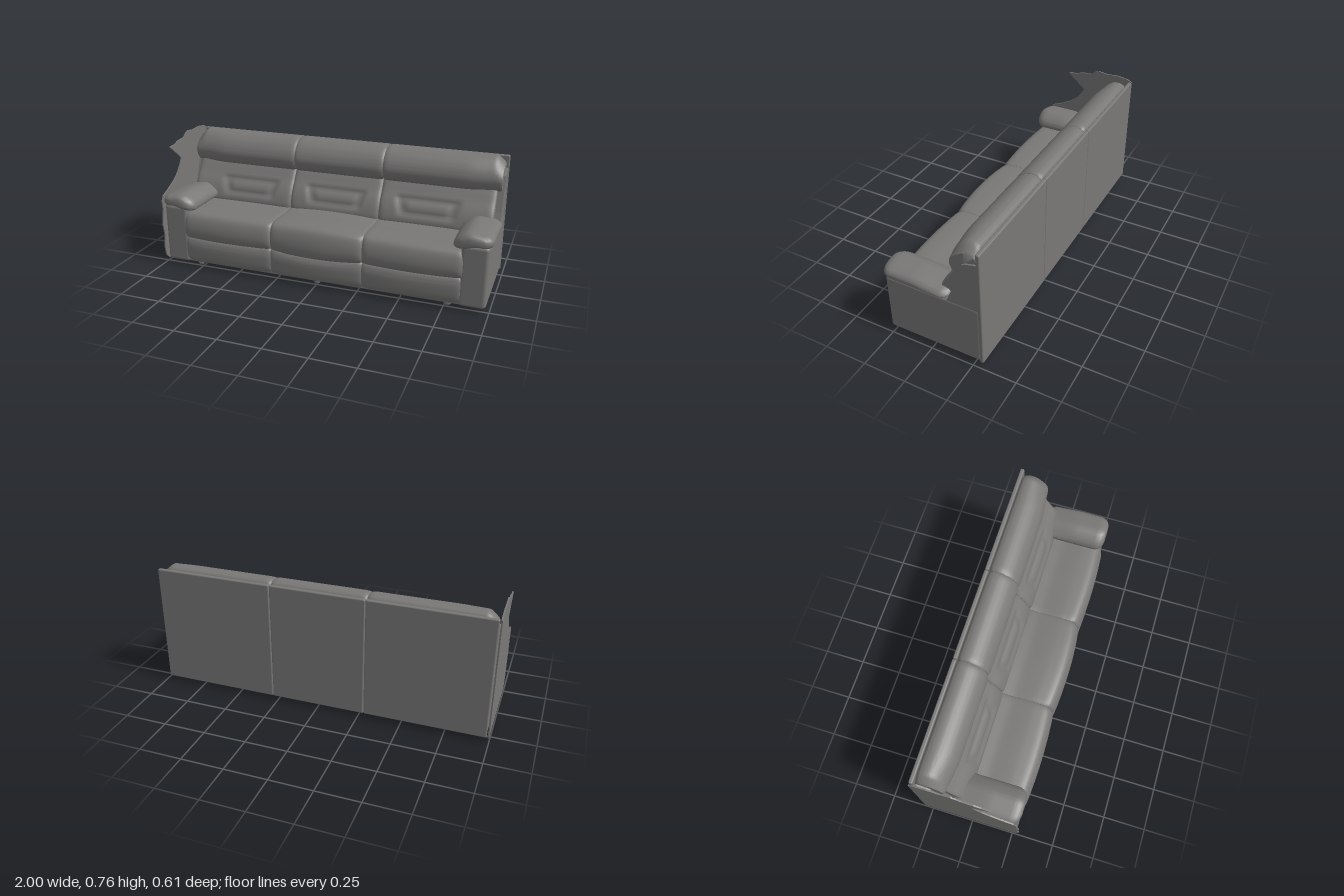
import * as THREE from 'three';
import { toCreasedNormals } from 'three/addons/utils/BufferGeometryUtils.js';
import { RoundedBoxGeometry } from 'three/addons/geometries/RoundedBoxGeometry.js';

const material = new THREE.MeshStandardMaterial({ color: 0x797877, side: THREE.DoubleSide });
const clamp = THREE.MathUtils.clamp;
const smooth = THREE.MathUtils.smoothstep;

function add(parent, name, geometry, x = 0, y = 0, z = 0) {
  const mesh = new THREE.Mesh(geometry, material);
  mesh.name = name;
  mesh.position.set(x, y, z);
  parent.add(mesh);
  return mesh;
}

// Box given by its extents on each axis
function box(parent, name, [x0, x1], [y0, y1], [z0, z1], radius) {
  const geo = new RoundedBoxGeometry(x1 - x0, y1 - y0, z1 - z0, 3, radius);
  add(parent, name, geo, (x0 + x1) / 2, (y0 + y1) / 2, (z0 + z1) / 2);
}

// Padded form: a smooth closed section swept along z from c0 to c1, with rounded ends.
// shape(p, t) may move each point; t runs from -1 to 1 along the sweep.
function pillow(points, c0, c1, { round = 0.04, shrink = 0.12, shape = null } = {}) {
  const around = 72, along = 50;
  const curve = new THREE.CatmullRomCurve3(points.map(([a, b]) => new THREE.Vector3(a, b, 0)), true);
  const section = curve.getSpacedPoints(around).slice(0, around);
  if (THREE.ShapeUtils.area(section) < 0) section.reverse();
  const centre = section.reduce((s, p) => s.add(p), new THREE.Vector3()).divideScalar(around);
  const position = [], index = [];
  for (let i = -1; i <= along + 1; i++) {
    const u = clamp(i / along, 0, 1);
    const t = 0.6 * (2 * u - 1) - 0.4 * Math.cos(Math.PI * u);
    const c = (c0 + c1) / 2 + t * (c1 - c0) / 2;
    const q = clamp(1 - Math.min(c - c0, c1 - c) / round, 0, 1);
    const cap = i < 0 || i > along;
    const scale = cap ? 0 : 1 - shrink * (1 - Math.sqrt(1 - q * q));
    for (const s of section) {
      const p = s.clone().sub(centre).multiplyScalar(scale).add(centre);
      p.z = c;
      if (shape) shape(p, t);
      position.push(p.x, p.y, p.z);
    }
  }
  for (let i = 0; i < along + 2; i++) {
    for (let j = 0; j < around; j++) {
      const a = i * around + j, b = i * around + (j + 1) % around;
      index.push(a, b, a + around, b, b + around, a + around);
    }
  }
  const geo = new THREE.BufferGeometry();
  geo.setAttribute('position', new THREE.Float32BufferAttribute(position, 3));
  geo.setIndex(index);
  return toCreasedNormals(geo, 0.8);
}

// Pillow with a (z, y) section running across x
function crossPillow(points, x0, x1, options) {
  return pillow(points, -x1, -x0, options).rotateY(-Math.PI / 2);
}

// Flat (z, y) outline, extruded inward from x
function sidePanel(points, x, depth) {
  const outline = new THREE.Shape(points.map(([z, y]) => new THREE.Vector2(z, y)));
  const geo = new THREE.ExtrudeGeometry(outline, { depth, bevelEnabled: false });
  return geo.rotateY(-Math.PI / 2).translate(x, 0, 0);
}

const footrestSection = [[0.1, 0.035], [0.25, 0.033], [0.274, 0.05], [0.284, 0.11],
  [0.28, 0.165], [0.262, 0.195], [0.1, 0.19]];
const seatSection = [[-0.1, 0.25], [-0.1, 0.335], [0.05, 0.343], [0.19, 0.35], [0.255, 0.338],
  [0.282, 0.29], [0.287, 0.22], [0.268, 0.188], [0.1, 0.2]];
const backSection = [[-0.27, 0.31], [-0.06, 0.3], [-0.025, 0.34], [-0.035, 0.40], [-0.06, 0.455],
  [-0.098, 0.51], [-0.13, 0.56], [-0.17, 0.61], [-0.27, 0.61]];
const headSection = [[-0.28, 0.58], [-0.18, 0.56], [-0.13, 0.56], [-0.1, 0.615], [-0.11, 0.67],
  [-0.15, 0.722], [-0.21, 0.75], [-0.265, 0.742], [-0.284, 0.70]];
const padSection = [[0.785, 0.365], [0.79, 0.405], [0.855, 0.452], [0.93, 0.448], [0.985, 0.43],
  [0.998, 0.405], [0.985, 0.38], [0.91, 0.376], [0.83, 0.356]];
const wingOutline = [[-0.29, 0.1], [-0.1, 0.1], [-0.1, 0.37], [-0.13, 0.44], [-0.15, 0.5],
  [-0.18, 0.59], [-0.198, 0.64], [-0.22, 0.652], [-0.27, 0.665], [-0.29, 0.665]];
const sheetOutline = [[-0.3, 0.02], [0.25, 0.02], [0.28, 0.05], [0.29, 0.11], [0.28, 0.18],
  [0.29, 0.25], [0.275, 0.34], [0.28, 0.4], [0.26, 0.435], [0.2, 0.46], [0.13, 0.495],
  [0.085, 0.53], [0.05, 0.575], [0.03, 0.61], [0.08, 0.652], [0.145, 0.705], [0.14, 0.711],
  [0.09, 0.713], [0.05, 0.728], [-0.015, 0.731], [-0.04, 0.752], [-0.07, 0.763], [-0.13, 0.755],
  [-0.2, 0.76], [-0.27, 0.75], [-0.3, 0.735]];

export function createModel() {
  const sofa = new THREE.Group();
  sofa.name = 'sofa';

  // Hidden frame, giving the flat underside and the filling of the back
  box(sofa, 'base', [-0.96, 0.96], [0.025, 0.3], [-0.29, 0.262], 0.01);
  box(sofa, 'backFrame', [-0.95, 0.95], [0.2, 0.66], [-0.295, -0.2], 0.02);

  // Three recliner places
  for (const side of [-1, 0, 1]) {
    const place = new THREE.Group();
    place.name = ['rightPlace', 'middlePlace', 'leftPlace'][side + 1];
    sofa.add(place);
    const span = (end) => side === 0 ? [-0.28, 0.28] : side > 0 ? [0.281, end] : [-end, -0.281];
    const crown = side === 0 ? 0.018 : 0.013;
    const lift = side === 0 ? 0.012 : 0.003;

    // The front bulges, the seat top swells and the seam below it bows down
    const bow = (p, t) => {
      const k = 1 - t * t;
      const rise = smooth(p.y, 0.24, 0.34);
      const sag = smooth(p.y, 0.12, 0.19) * (1 - smooth(p.y, 0.19, 0.26));
      p.x += crown * k * smooth(p.x, 0.1, 0.28);
      p.y += lift * k * (rise - sag);
    };
    add(place, 'footrest', crossPillow(footrestSection, ...span(0.84), { shrink: 0.06, shape: bow }));
    add(place, 'seat', crossPillow(seatSection, ...span(0.845), { shrink: 0.06, shape: bow }));

    // Sunken, tapered lumbar panel with a raised middle
    const centre = side * 0.565;
    const emboss = (p) => {
      if (p.x < -0.2) return;
      const dx = Math.abs(-p.z - centre);
      const inside = (w, y0, y1) => smooth(w - dx, 0, 0.035) *
        smooth(p.y, y0, y0 + 0.025) * (1 - smooth(p.y, y1 - 0.025, y1));
      const flare = (p.y - 0.4) * 0.3;
      p.x += 0.009 * inside(0.135 + flare, 0.4, 0.475) - 0.013 * inside(0.18 + flare, 0.38, 0.5);
    };
    add(place, 'lowerBack', crossPillow(backSection, ...span(0.945), { shrink: 0.1, shape: emboss }));

    // Headrest, receding and dropping at the sofa's outer ends
    const fall = (p) => {
      const out = -p.z * side;
      p.x -= 0.02 * smooth(out, 0.75, 0.97) * smooth(p.x, -0.25, -0.12);
      p.y -= 0.035 * smooth(out, 0.915, 0.975) * smooth(p.y, 0.6, 0.75);
    };
    add(place, 'headrest', crossPillow(headSection, ...span(0.97), { shrink: 0.08, shape: fall }));

    // Rear upholstery panel
    box(place, 'rearPanel', span(0.985), [0.022, 0.738], [-0.304, -0.28], 0.008);
  }

  // Arms, padded tops and back wings
  for (const side of [-1, 1]) {
    const arm = new THREE.Group();
    arm.name = side > 0 ? 'leftArm' : 'rightArm';
    sofa.add(arm);
    const range = side > 0 ? [0.83, 0.982] : [-0.982, -0.83];
    box(arm, 'armBody', range, [0.022, 0.385], [-0.295, 0.273], 0.022);
    const tilt = (p) => {
      p.y -= 0.02 * smooth(-p.z, -0.12, 0.1) * smooth(p.y, 0.375, 0.43);
    };
    const section = padSection.map(([x, y]) => [side * x, y]);
    add(arm, 'armPad', pillow(section, -0.115, 0.29, { round: 0.06, shrink: 0.6, shape: tilt }));
    add(arm, 'backWing', sidePanel(wingOutline, side > 0 ? 0.98 : -0.935, 0.045));
  }

  // Ragged flat sheet against the right side
  add(sofa, 'sideSheet', sidePanel(sheetOutline, -0.99, 0.008));

  // Feet
  for (const x of [-0.77, 0, 0.77]) {
    for (const z of [-0.235, 0.235]) {
      add(sofa, 'foot', new THREE.SphereGeometry(0.02, 16, 12), x, 0.02, z);
    }
  }
  return sofa;
}
